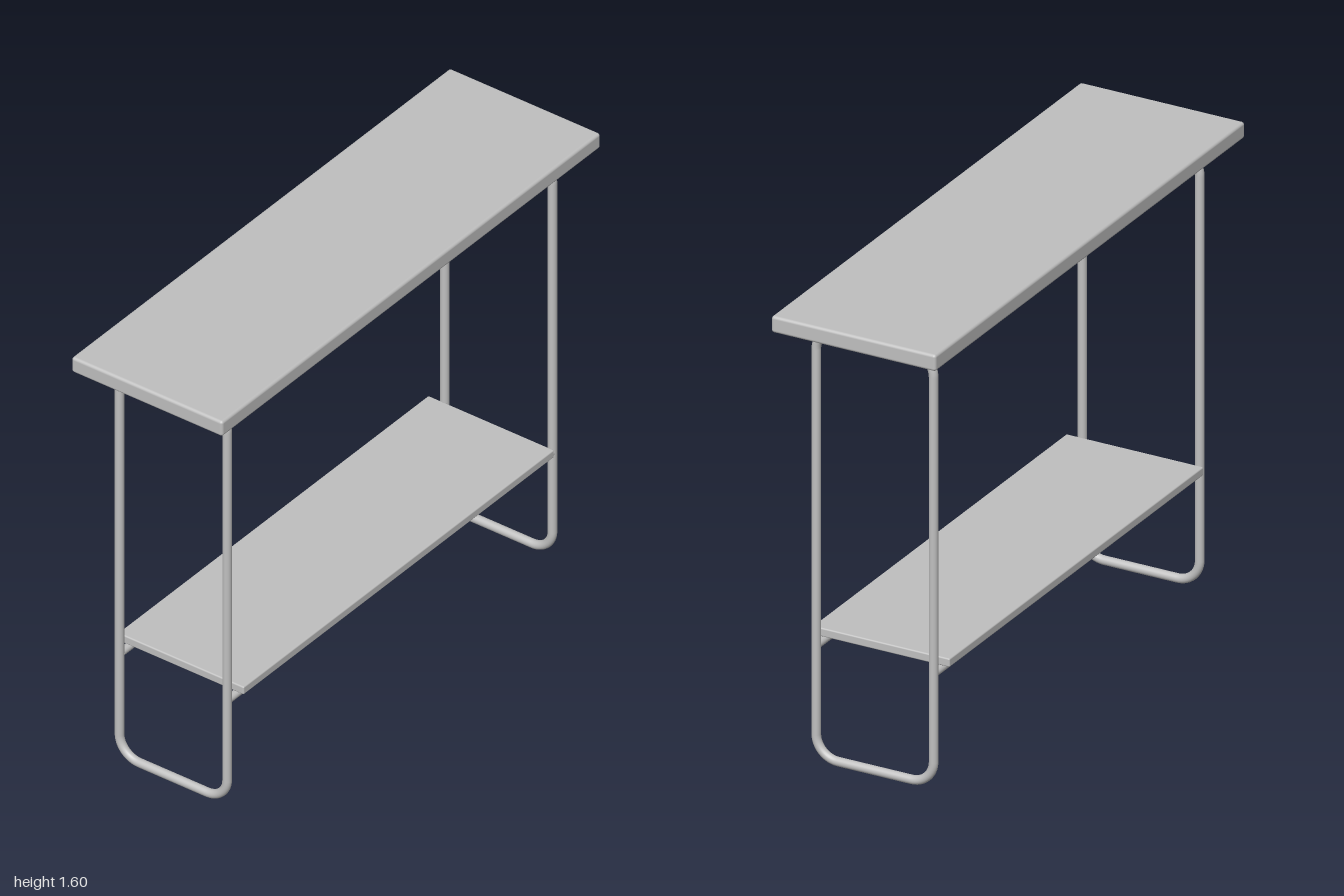
import * as THREE from 'three';
import { RoundedBoxGeometry } from 'three/addons/geometries/RoundedBoxGeometry.js';

const TUBE = 0.0155;

export function createModel() {
  const model = new THREE.Group();
  model.name = 'consoleTable';
  const grey = new THREE.MeshStandardMaterial({ color: 0xc0c0c0 });
  grey.name = 'light grey';

  function add(parent, name, geometry, x, y, z = 0) {
    const mesh = new THREE.Mesh(geometry, grey);
    mesh.name = name;
    mesh.position.set(x, y, z);
    parent.add(mesh);
    return mesh;
  }

  // Table top and lower shelf with softened edges
  add(model, 'tableTop', new RoundedBoxGeometry(2, 0.058, 0.6, 3, 0.01), 0, 1.571);
  add(model, 'lowerShelf', new RoundedBoxGeometry(1.64, 0.03, 0.5, 3, 0.005), 0, 0.434);

  // Closed tube loop with rounded corners, drawn in the xy plane
  function legLoop(side) {
    const loop = new THREE.Group();
    loop.name = side > 0 ? 'leftLegLoop' : 'rightLegLoop';
    const halfWidth = 0.214, bottom = TUBE, top = 1.527, bend = 0.08;
    const middle = (bottom + top) / 2;
    const upright = new THREE.CylinderGeometry(TUBE, TUBE, top - bottom - 2 * bend, 20, 1, true);
    const crossBar = new THREE.CylinderGeometry(TUBE, TUBE, 2 * (halfWidth - bend), 20, 1, true);
    crossBar.rotateZ(Math.PI / 2);
    const corner = new THREE.TorusGeometry(bend, TUBE, 20, 12, Math.PI / 2);
    for (const s of [-1, 1]) {
      add(loop, 'upright', upright, s * halfWidth, middle);
      add(loop, 'crossBar', crossBar, 0, s > 0 ? top : bottom);
    }
    for (let i = 0; i < 4; i++) {
      const a = i * Math.PI / 2;
      const sx = i === 0 || i === 3 ? 1 : -1;
      const y = i < 2 ? top - bend : bottom + bend;
      add(loop, 'corner', corner, sx * (halfWidth - bend), y).rotation.z = a;
    }
    loop.rotation.y = Math.PI / 2;
    loop.position.x = side * 0.859;
    model.add(loop);
  }
  legLoop(1);
  legLoop(-1);

  // Long rails: two carry the shelf, one braces the back under the top
  const rail = new THREE.CylinderGeometry(0.014, 0.014, 1.71, 20);
  rail.rotateZ(Math.PI / 2);
  add(model, 'frontShelfRail', rail, 0, 0.406, 0.214);
  add(model, 'backShelfRail', rail, 0, 0.406, -0.214);
  add(model, 'backTopRail', rail, 0, 1.529, -0.214);

  return model;
}
